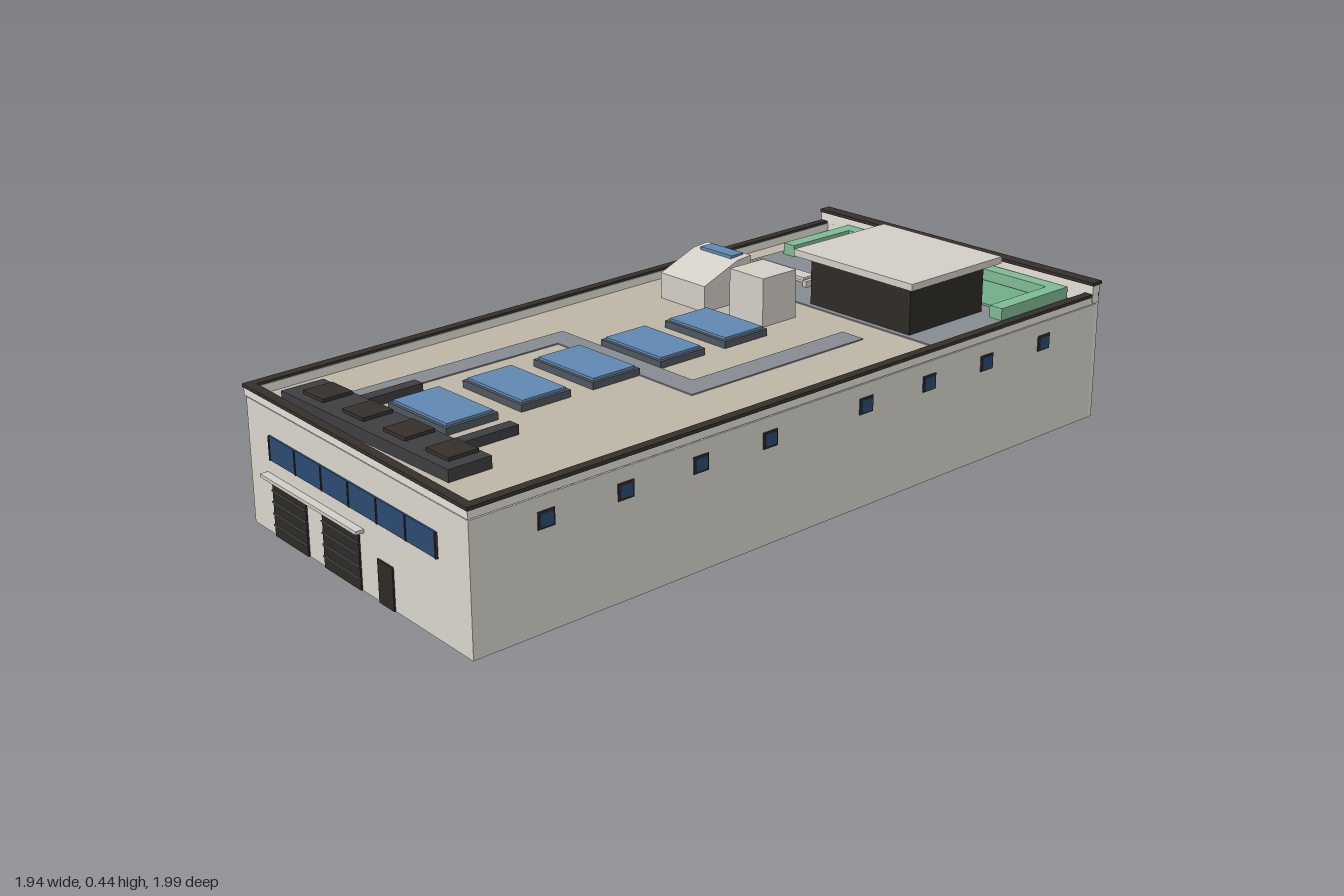
import * as THREE from 'three';

const mat = (color) => new THREE.MeshStandardMaterial({ color });
const M = {
  wall: mat(0xd8d5cb), trim: mat(0xe2dfd6), cap: mat(0x36302c), roof: mat(0xbdb4a4), path: mat(0x868b92),
  glass: mat(0x2b4a70), sky: mat(0x5f88b2), dark: mat(0x2e2a25), unit: mat(0x3e3e42), frame: mat(0x50565c),
  white: mat(0xd2cec6), green: mat(0x7fba93), hedge: mat(0x6fae86), teal: mat(0x2f8f84), orange: mat(0xb5654a),
};
const ROOF = 0.3;

// Footprint corners in the building's own axes (x along the length, z across)
const A = [0.923, -0.474], B = [0.933, 0.424], C = [-0.977, 0.42], D = [-0.93, -0.435];
const outline = (grow) => [A, B, C, D].map(([x, z]) =>
  new THREE.Vector2(x + Math.sign(x) * grow, -(z + Math.sign(z) * grow)));

function add(parent, name, geo, material) {
  const mesh = new THREE.Mesh(geo, material);
  mesh.name = name;
  parent.add(mesh);
  return mesh;
}

// Box given by its extents on each axis
function block(parent, name, [x0, x1], [y0, y1], [z0, z1], material) {
  const mesh = add(parent, name, new THREE.BoxGeometry(x1 - x0, y1 - y0, z1 - z0), material);
  mesh.position.set((x0 + x1) / 2, (y0 + y1) / 2, (z0 + z1) / 2);
  return mesh;
}

// Footprint extruded upward, optionally hollowed to a ring
function slab(parent, name, y0, y1, grow, inset, material) {
  const shape = new THREE.Shape(outline(grow));
  if (inset) shape.holes.push(new THREE.Path(outline(-inset).reverse()));
  const geo = new THREE.ExtrudeGeometry(shape, { depth: y1 - y0, bevelEnabled: false });
  geo.rotateX(-Math.PI / 2).translate(0, y0, 0);
  return add(parent, name, geo, material);
}

// Group lying on a wall: x runs from P to Q, z points outward
function wallGroup(parent, name, P, Q) {
  const g = new THREE.Group();
  g.name = name;
  g.position.set(P[0], 0, P[1]);
  g.rotation.y = Math.atan2(P[1] - Q[1], Q[0] - P[0]);
  g.userData.length = Math.hypot(Q[0] - P[0], Q[1] - P[1]);
  parent.add(g);
  return g;
}

function buildShell(b) {
  slab(b, 'walls', 0, ROOF - 0.004, 0, 0, M.wall);
  slab(b, 'roofDeck', ROOF - 0.004, ROOF, -0.005, 0, M.roof);
  slab(b, 'parapet', ROOF, 0.32, 0.003, 0.02, M.trim);
  slab(b, 'parapetCap', 0.318, 0.326, 0.005, 0.018, M.cap);
}

function buildEntrance(b) {
  const g = wallGroup(b, 'entranceFacade', B, A), L = g.userData.length;
  // Raised parapet above the entrance
  block(g, 'raisedParapet', [-0.005, L + 0.005], [0.305, 0.35], [-0.02, 0.006], M.trim);
  block(g, 'raisedParapetCap', [-0.008, L + 0.006], [0.348, 0.356], [-0.024, 0.01], M.cap);
  block(g, 'parapetGroove', [0, L], [0.326, 0.329], [0, 0.008], M.cap);
  // Pilasters
  for (const [x0, x1] of [[0, 0.022], [0.315, 0.36], [0.64, 0.668], [L - 0.025, L]])
    block(g, 'pilaster', [x0, x1], [0, 0.303], [0, 0.012], M.trim);
  // Two bays of windows on two floors
  for (const x of [0.04, 0.37]) {
    for (const y of [0.052, 0.167]) {
      block(g, 'facadeWindow', [x, x + 0.26], [y, y + 0.092], [-0.005, 0.003], M.glass);
      for (let i = 0; i <= 4; i++)
        block(g, 'mullion', [x + i * 0.065 - 0.003, x + i * 0.065 + 0.003], [y, y + 0.092], [0, 0.006], M.cap);
      block(g, 'transom', [x, x + 0.26], [y + 0.044, y + 0.049], [0, 0.006], M.cap);
    }
  }
  // Door with a panel above
  block(g, 'entranceDoor', [0.735, 0.84], [0, 0.172], [-0.005, 0.006], M.dark);
  block(g, 'doorGlass', [0.752, 0.822], [0.115, 0.155], [0, 0.009], M.white);
  block(g, 'panelOutline', [0.732, 0.843], [0.18, 0.285], [-0.005, 0.002], M.cap);
  block(g, 'doorPanel', [0.736, 0.839], [0.184, 0.281], [0, 0.004], M.trim);
}

function buildLoadingEnd(b) {
  const g = wallGroup(b, 'loadingFacade', D, C), L = g.userData.length;
  const at = (x) => ((x + 0.97) / 0.575) * L;
  block(g, 'ribbonWindow', [at(-0.905), at(-0.47)], [0.178, 0.235], [-0.005, 0.004], M.glass);
  for (let i = 0; i <= 6; i++) {
    const x = at(-0.905 + i * 0.0725);
    block(g, 'ribbonMullion', [x - 0.002, x + 0.002], [0.178, 0.235], [0, 0.006], M.cap);
  }
  for (const [x0, x1] of [[-0.905, -0.81], [-0.765, -0.667]]) {
    block(g, 'garageDoor', [at(x0), at(x1)], [0, 0.135], [-0.005, 0.004], M.dark);
    for (let i = 1; i < 5; i++)
      block(g, 'doorRib', [at(x0), at(x1)], [i * 0.027 - 0.002, i * 0.027 + 0.002], [0, 0.007], M.frame);
  }
  block(g, 'doorCanopy', [at(-0.92), at(-0.655)], [0.136, 0.144], [0, 0.02], M.white);
  block(g, 'sideDoor', [at(-0.62), at(-0.582)], [0, 0.098], [-0.005, 0.004], M.dark);
}

function buildSideWindows(b) {
  const g = wallGroup(b, 'sideWindows', C, B), L = g.userData.length;
  for (const x of [-0.26, -0.115, 0.03, 0.172, 0.382, 0.53, 0.672, 0.82]) {
    const c = ((x + 0.392) / 1.352) * L;
    block(g, 'windowFrame', [c - 0.021, c + 0.021], [0.226, 0.264], [-0.005, 0.003], M.cap);
    block(g, 'windowPane', [c - 0.017, c + 0.017], [0.23, 0.26], [0, 0.005], M.glass);
  }
}

function buildRoof(b) {
  // Walkways
  const flat = [ROOF - 0.002, ROOF + 0.003];
  block(b, 'walkway', [-0.8, -0.163], flat, [-0.29, -0.23], M.path);
  block(b, 'walkway', [-0.226, -0.163], flat, [-0.23, 0.16], M.path);
  block(b, 'walkway', [-0.226, 0.315], flat, [0.16, 0.226], M.path);
  block(b, 'terrace', [0.396, 0.905], flat, [-0.396, 0.37], M.path);

  // Skylights
  for (let i = 0; i < 5; i++) {
    const x = -0.688 + i * 0.198;
    block(b, 'skylightCurb', [x - 0.068, x + 0.068], [ROOF, 0.317], [-0.152, 0.054], M.frame);
    block(b, 'skylightGlass', [x - 0.06, x + 0.06], [0.315, 0.323], [-0.144, 0.046], M.sky);
  }

  // Ventilation bank with ducts
  block(b, 'ventilationBank', [-0.9, -0.792], [ROOF, 0.328], [-0.34, 0.256], M.unit);
  for (const z of [-0.255, -0.107, 0.04, 0.186])
    block(b, 'ventilationFan', [-0.875, -0.8], [0.326, 0.336], [z - 0.038, z + 0.038], M.cap);
  for (const z of [-0.2, 0.134])
    block(b, 'duct', [-0.8, -0.64], [ROOF, 0.322], [z - 0.015, z + 0.015], M.unit);

  // Sloped stair head: side profile extruded across the roof
  const profile = new THREE.Shape([[0.18, ROOF], [0.335, ROOF], [0.335, 0.412], [0.29, 0.408], [0.18, 0.365]]
    .map((p) => new THREE.Vector2(...p)));
  add(b, 'stairHead', new THREE.ExtrudeGeometry(profile, { depth: 0.155, bevelEnabled: false }), M.white)
    .position.z = -0.325;
  block(b, 'stairHeadWindow', [0.288, 0.328], [0.4, 0.415], [-0.3, -0.19], M.sky);
  block(b, 'liftHousing', [0.205, 0.315], [ROOF, 0.42], [-0.108, 0.005], M.white);
}

function buildTerrace(b) {
  // Pavilion
  block(b, 'pavilionCore', [0.41, 0.67], [ROOF, 0.425], [-0.037, 0.284], M.dark);
  block(b, 'pavilionRoof', [0.38, 0.70], [0.424, 0.441], [-0.067, 0.314], M.white);
  // Hedges and lawn
  const y = [ROOF, 0.333];
  block(b, 'hedge', [0.862, 0.9], y, [-0.375, 0.362], M.green);
  block(b, 'hedge', [0.655, 0.862], y, [-0.375, -0.338], M.green);
  block(b, 'hedge', [0.65, 0.862], y, [0.325, 0.362], M.green);
  block(b, 'lawn', [0.71, 0.855], [ROOF, 0.308], [0.09, 0.322], M.hedge);
  // Furniture
  block(b, 'longBench', [0.715, 0.865], [ROOF, 0.322], [-0.27, -0.22], M.teal);
  block(b, 'shortBench', [0.668, 0.76], [ROOF, 0.322], [-0.157, -0.113], M.teal);
  block(b, 'stool', [0.775, 0.827], [ROOF, 0.325], [-0.085, -0.035], M.orange);
  block(b, 'tableTop', [0.5, 0.54], [0.315, 0.323], [-0.335, -0.15], M.white);
  for (const z of [-0.35, -0.145])
    block(b, 'tableEnd', [0.492, 0.548], [ROOF, 0.319], [z, z + 0.012], M.white);
  block(b, 'tableBeam', [0.514, 0.526], [ROOF + 0.004, 0.317], [-0.345, -0.14], M.white);
}

export function createModel() {
  const model = new THREE.Group();
  model.name = 'building';
  // The building stands diagonally on its plot
  model.rotation.y = Math.PI / 4;
  buildShell(model);
  buildEntrance(model);
  buildLoadingEnd(model);
  buildSideWindows(model);
  buildRoof(model);
  buildTerrace(model);
  const root = new THREE.Group();
  root.name = 'model';
  root.add(model);
  return root;
}
